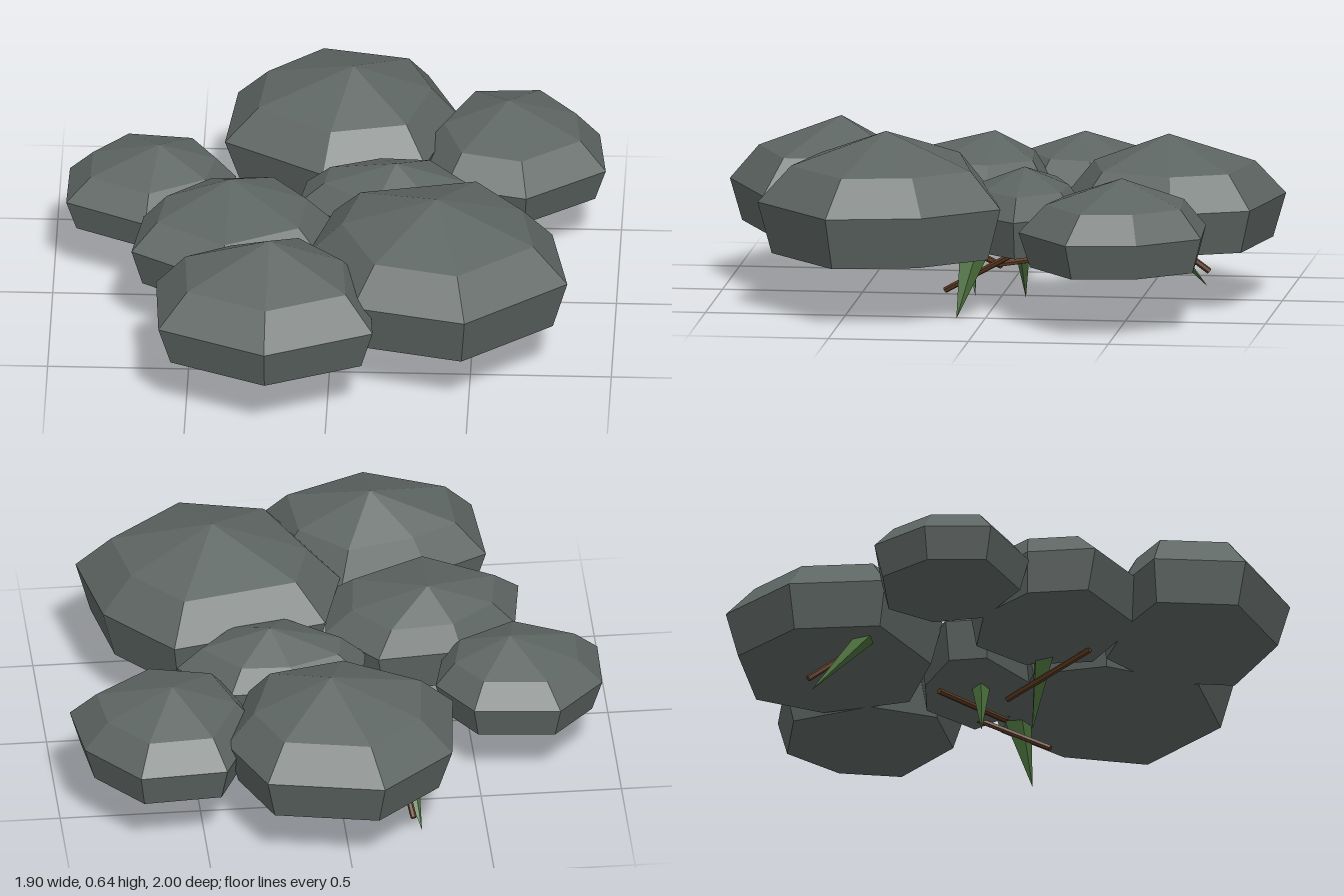
import * as THREE from 'three';

const stoneMat = new THREE.MeshStandardMaterial({ color: 0x5d6562 });
stoneMat.name = 'slate grey';
const leafMat = new THREE.MeshStandardMaterial({ color: 0x4a6f3c });
leafMat.name = 'leaf green';
const twigMat = new THREE.MeshStandardMaterial({ color: 0x5c3a22 });
twigMat.name = 'twig brown';
for (const m of [stoneMat, leafMat, twigMat]) m.flatShading = true;

const BASE = 0.215;

// Faceted stone: flat base, wide waist, shoulder ring and a peak.
// outline: seven x,z pairs of the waist, clockwise from above.
function stone(peak, waistY, outline) {
  const [px, py, pz] = peak;
  const n = outline.length / 2;
  const rings = [
    [0.89, BASE],
    [1, waistY],
    [0.74, waistY + (py - waistY) * 0.52],
  ].map(([k, y]) => Array.from({ length: n }, (_, i) => [
    px + (outline[2 * i] - px) * k, y, pz + (outline[2 * i + 1] - pz) * k,
  ]));
  const pos = [];
  const tri = (...pts) => pts.forEach((p) => pos.push(...p));
  for (let i = 0; i < n; i++) {
    const j = (i + 1) % n;
    for (let r = 0; r < 2; r++) {
      const lo = rings[r], hi = rings[r + 1];
      tri(lo[j], lo[i], hi[i]);
      tri(lo[j], hi[i], hi[j]);
    }
    tri(rings[2][j], rings[2][i], peak);
    tri([px, BASE, pz], rings[0][i], rings[0][j]);
  }
  const g = new THREE.BufferGeometry();
  g.setAttribute('position', new THREE.Float32BufferAttribute(pos, 3));
  g.computeVertexNormals();
  const mesh = new THREE.Mesh(g, stoneMat);
  mesh.name = 'stone';
  return mesh;
}

// Lays a geometry whose long axis is y between two points.
function between(geo, mat, name, a, b) {
  const from = new THREE.Vector3(...a), to = new THREE.Vector3(...b);
  const dir = to.clone().sub(from);
  const mesh = new THREE.Mesh(geo(dir.length()), mat);
  mesh.position.copy(from).add(to).multiplyScalar(0.5);
  mesh.quaternion.setFromUnitVectors(new THREE.Vector3(0, 1, 0), dir.normalize());
  mesh.name = name;
  return mesh;
}

export function createModel() {
  const model = new THREE.Group();
  model.name = 'stoneCluster';

  // Stones: peak, waist height, waist outline
  const stones = [
    [[0.045, 0.6, -0.6], 0.37, [-0.11, -1, 0.3, -0.92, 0.42, -0.65, 0.31, -0.31, -0.05, -0.23, -0.405, -0.44, -0.37, -0.78]],
    [[0.6, 0.53, -0.5], 0.34, [0.43, -0.78, 0.74, -0.8, 0.92, -0.59, 0.95, -0.34, 0.675, -0.14, 0.385, -0.21, 0.29, -0.48]],
    [[-0.63, 0.49, -0.22], 0.33, [-0.785, -0.485, -0.48, -0.455, -0.36, -0.275, -0.405, -0.075, -0.67, 0.065, -0.955, -0.075, -0.95, -0.31]],
    [[-0.365, 0.53, 0.07], 0.36, [-0.47, -0.11, -0.17, -0.135, 0, 0.06, -0.03, 0.33, -0.38, 0.5, -0.71, 0.3, -0.675, 0.06]],
    [[-0.21, 0.6, 0.6], 0.365, [-0.615, 0.51, -0.4, 0.4, -0.08, 0.32, 0.14, 0.52, 0.165, 0.835, -0.215, 1, -0.595, 0.835]],
    [[0.375, 0.645, 0.37], 0.4, [0.55, -0.06, 0.78, 0.195, 0.845, 0.53, 0.49, 0.815, 0.09, 0.72, -0.08, 0.35, 0, 0.06]],
    [[0.215, 0.5, -0.105], 0.35, [-0.105, -0.22, 0.135, -0.31, 0.37, -0.3, 0.545, -0.105, 0.38, 0.07, 0.12, 0.12, -0.13, -0.07]],
  ];
  for (const s of stones) model.add(stone(...s));

  // Pointed leaves hanging below: root, tip
  const leafGeo = (len) => new THREE.ConeGeometry(0.06, len, 4).scale(1, 1, 0.6);
  const leaves = [
    [[0.44, 0.26, 0.04], [0.53, 0, 0.1]],
    [[0.19, 0.25, -0.09], [0.05, 0, -0.09]],
    [[-0.07, 0.25, 0.13], [0.05, 0, 0.09]],
    [[-0.22, 0.25, -0.49], [-0.27, 0, -0.7]],
  ];
  for (const [a, b] of leaves) model.add(between(leafGeo, leafMat, 'leaf', a, b));

  // Twigs
  const twigGeo = (len) => new THREE.CylinderGeometry(0.011, 0.011, len, 6);
  const twigs = [
    [[0.36, 0.075, 0.16], [0.46, 0.245, -0.13]],
    [[0.31, 0.16, 0], [0.07, 0.16, -0.24]],
    [[-0.18, 0.21, 0.29], [0.03, 0.11, 0]],
    [[-0.2, 0.21, -0.52], [-0.24, 0.06, -0.71]],
  ];
  for (const [a, b] of twigs) model.add(between(twigGeo, twigMat, 'twig', a, b));

  return model;
}
